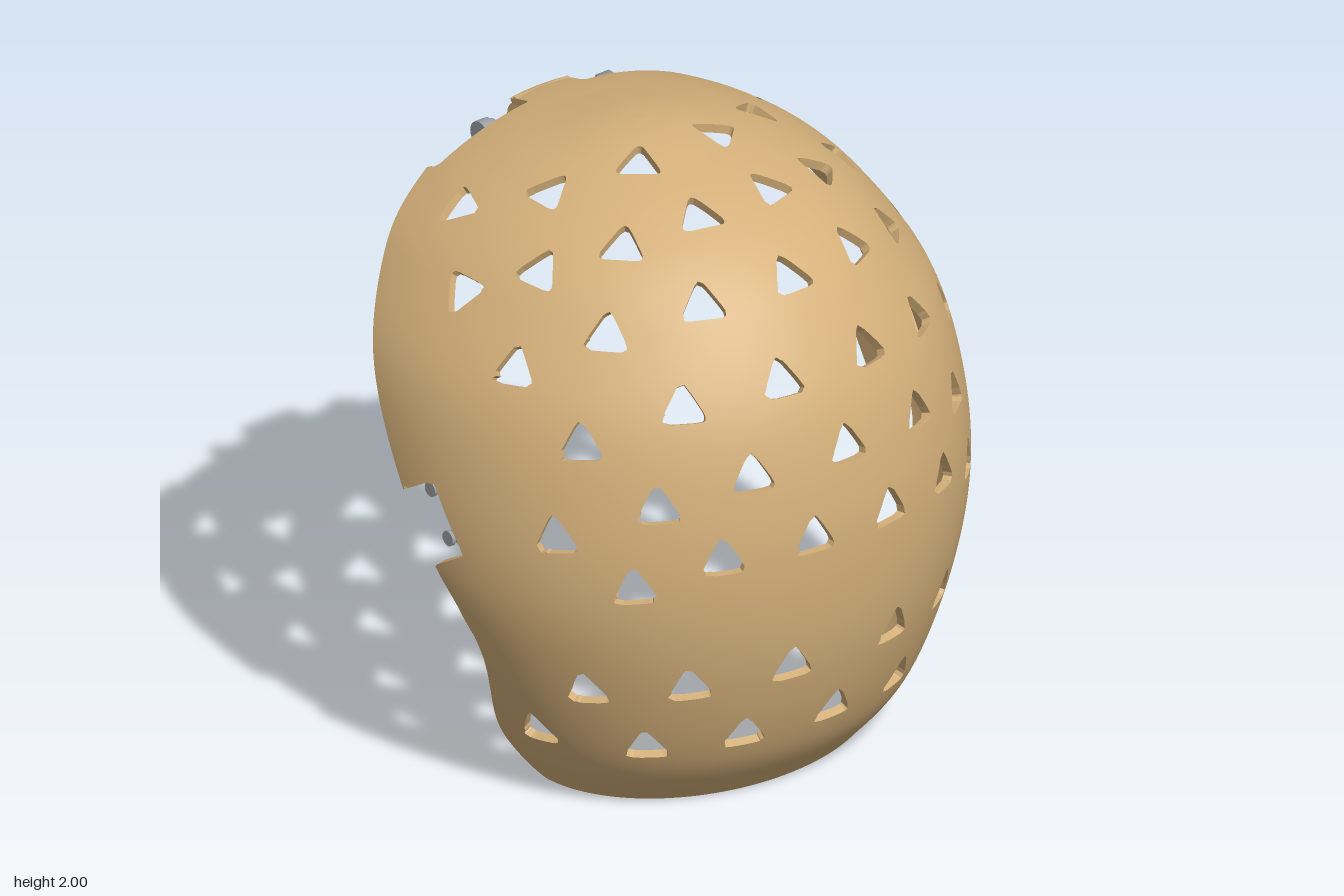
import * as THREE from 'three';

const tan = new THREE.MeshStandardMaterial({ color: 0xd4b07a });
tan.name = 'tan shell';
const steel = new THREE.MeshStandardMaterial({ color: 0x9b9fa4 });
steel.name = 'steel';

// Horizontal sections of the shell: [y, front z, half width, centre z]
const SECTIONS = [
  [2, -0.25, 0, -0.25], [1.99, -0.13, 0.12, -0.25], [1.96, 0, 0.25, -0.26], [1.9, 0.2, 0.42, -0.28],
  [1.8, 0.39, 0.6, -0.31], [1.65, 0.55, 0.76, -0.36], [1.4, 0.7, 0.915, -0.33], [1.1, 0.77, 0.97, -0.24],
  [0.8, 0.775, 0.955, -0.14], [0.5, 0.73, 0.86, -0.06], [0.2, 0.62, 0.73, -0.01], [0, 0.46, 0.6, 0],
  [-0.15, 0.32, 0.48, 0],
];
const V = (x, y, z) => new THREE.Vector3(x, y, z);
const outline = new THREE.CatmullRomCurve3(SECTIONS.map(s => V(s[0], s[1], s[2])), false, 'catmullrom', 0.5);
const centres = new THREE.CatmullRomCurve3(SECTIONS.map(s => V(s[3], 0, 0)), false, 'catmullrom', 0.5);

// Point on the outer surface; u runs from the crown down, t is the angle from the front
function surface(u, t) {
  const o = outline.getPoint(u), c = centres.getPoint(u).x;
  return V(o.z * Math.sin(t), o.x, c + (o.y - c) * Math.cos(t));
}
function tangents(u, t) {
  u = Math.min(Math.max(u, 0.003), 0.998);
  const e = 0.001;
  const down = surface(u + e, t).sub(surface(u - e, t)).normalize();
  const side = surface(u, t + e).sub(surface(u, t - e)).normalize();
  return { up: down.clone().negate(), normal: down.cross(side).normalize() };
}

// Vent centres on the left half; the last number turns the triangle over
const VENTS = [
  [0, 0.32, 0.68], [0.3, 0.3, 0.6], [0.52, 0.27, 0.41], [0.7, 0.27, 0.13],
  [0.2, 0.55, 0.71], [0.5, 0.52, 0.58], [0.7, 0.49, 0.34],
  [0.15, 1, 0.76], [0.44, 0.98, 0.67], [0.65, 0.89, 0.5], [0.81, 1.04, 0.31],
  [0, 1.26, 0.76], [0.33, 1.24, 0.68], [0.6, 1.16, 0.55],
  [0.17, 1.5, 0.63], [0.48, 1.46, 0.53], [0.73, 1.34, 0.33],
  [0, 1.74, 0.45], [0.3, 1.72, 0.4], [0.57, 1.64, 0.26], [0.77, 1.515, 0.06],
  [0.14, 1.89, 0.19], [0.38, 1.84, 0.11], [0.58, 1.76, -0.04], [0.72, 1.66, -0.23, 1],
  [0.15, 1.965, -0.09], [0.41, 1.9, -0.21], [0.56, 1.81, -0.44, 1],
];
function makeVent(x, y, z, flip) {
  let lo = 0, hi = 1;
  for (let i = 0; i < 30; i++) {
    const mid = (lo + hi) / 2;
    if (outline.getPoint(mid).x > y) lo = mid; else hi = mid;
  }
  const o = outline.getPoint(lo), c = centres.getPoint(lo).x;
  const t = Math.atan2(x / o.z, (z - c) / (o.y - c));
  const { up, normal } = tangents(lo, t);
  if (flip) up.negate();
  return { centre: surface(lo, t), up, side: up.clone().cross(normal) };
}
// Distance-like value of a rounded triangle, negative inside
function ventField(p, v) {
  const d = p.clone().sub(v.centre);
  if (d.lengthSq() > 0.06) return 1;
  const a = d.dot(v.side), b = d.dot(v.up), k = Math.sqrt(3) / 2;
  const sum = [-b, k * a + b / 2, -k * a + b / 2].reduce((s, q) => s + Math.max(q, 0) ** 4, 0);
  return sum ** 0.25 - 0.047;
}

// Rear edge seen from the side: [y, z]
const RIM = [[-0.2, 0], [0, 0], [0.03, -0.045], [0.08, -0.073], [0.14, -0.08], [0.2, -0.07], [0.28, -0.043],
  [0.36, -0.013], [0.45, 0.012], [0.52, 0.02], [0.59, 0.014], [0.65, -0.01], [0.72, -0.035], [2.1, -0.892]];
function rimZ(y) {
  const i = Math.max(1, RIM.findIndex(r => r[0] >= y));
  const [y0, z0] = RIM[i - 1], [y1, z1] = RIM[i];
  return z0 + (z1 - z0) * (y - y0) / (y1 - y0);
}

// Frame of the side notches: position on the rim and tilt
const NOTCH_Y = 0.93, NOTCH_Z = -0.17, TILT = 0.557;

// Shell with vents, made by clipping a fine grid and thickening it
function makeShell() {
  const vents = [];
  for (const [x, y, z, flip] of VENTS) {
    vents.push(makeVent(x, y, z, flip));
    if (x > 0) vents.push(makeVent(-x, y, z, flip));
  }
  const field = p => {
    const ax = Math.abs(p.x), dy = p.y - NOTCH_Y, dz = p.z - NOTCH_Z;
    const along = dy * Math.cos(TILT) - dz * Math.sin(TILT);
    const inward = dy * Math.sin(TILT) + dz * Math.cos(TILT);
    let f = Math.min(p.y, p.z - rimZ(p.y));
    f = Math.min(f, Math.max(p.z + 0.67, ax - 0.48, 0.11 - ax));
    f = Math.min(f, Math.max(inward - 0.155, Math.abs(along) - 0.126));
    for (const v of vents) f = Math.min(f, ventField(p, v));
    return f;
  };
  const THICK = 0.03;
  const vertex = (u, t) => {
    const p = surface(u, t), n = tangents(u, t).normal;
    return { u, t, p, n, q: p.clone().addScaledVector(n, -THICK) };
  };
  const rows = 130, cols = 250, grid = [];
  for (let i = 0; i <= rows; i++) {
    grid.push([]);
    for (let j = 0; j <= cols; j++) {
      const v = vertex(i / rows, (j / cols * 2 - 1) * Math.PI);
      v.f = field(v.p);
      grid[i].push(v);
    }
  }
  const pos = [], nor = [];
  const put = (p, n, s = 1) => { pos.push(p.x, p.y, p.z); nor.push(n.x * s, n.y * s, n.z * s); };
  const clip = tri => {
    if (tri.every(v => v.f <= 0)) return;
    const poly = [];
    let exit = null, entry = null;
    tri.forEach((a, i) => {
      const b = tri[(i + 1) % 3];
      if (a.f > 0) poly.push(a);
      if ((a.f > 0) !== (b.f > 0)) {
        const k = a.f / (a.f - b.f);
        const c = vertex(a.u + (b.u - a.u) * k, a.t + (b.t - a.t) * k);
        poly.push(c);
        if (a.f > 0) exit = c; else entry = c;
      }
    });
    for (let i = 1; i < poly.length - 1; i++) {
      const [a, b, c] = [poly[0], poly[i], poly[i + 1]];
      for (const v of [a, b, c]) put(v.p, v.n);
      for (const v of [a, c, b]) put(v.q, v.n, -1);
    }
    if (exit && entry) {
      const n = entry.p.clone().sub(exit.p).cross(exit.n).normalize();
      for (const p of [exit.q, entry.q, entry.p, exit.q, entry.p, exit.p]) put(p, n);
    }
  };
  for (let i = 0; i < rows; i++) for (let j = 0; j < cols; j++) {
    const a = grid[i][j], b = grid[i][j + 1], c = grid[i + 1][j + 1], d = grid[i + 1][j];
    clip([a, d, c]);
    clip([a, c, b]);
  }
  const g = new THREE.BufferGeometry();
  g.setAttribute('position', new THREE.Float32BufferAttribute(pos, 3));
  g.setAttribute('normal', new THREE.Float32BufferAttribute(nor, 3));
  return g;
}

function add(parent, name, geometry, material, x, y, z) {
  const m = new THREE.Mesh(geometry, material);
  m.name = name;
  m.position.set(x, y, z);
  parent.add(m);
  return m;
}
// Cylinder lying along x between two x values
const rod = (parent, name, r, x0, x1, y, z, mat = steel, sides = 20) =>
  add(parent, name, new THREE.CylinderGeometry(r, r, Math.abs(x1 - x0), sides).rotateZ(Math.PI / 2), mat, (x0 + x1) / 2, y, z);

export function createModel() {
  const model = new THREE.Group();
  model.name = 'ventedShell';
  add(model, 'shell', makeShell(), tan, 0, 0, 0);

  // Hinge at the top of the rear edge
  const hinge = new THREE.Group();
  hinge.name = 'topHinge';
  hinge.position.set(0, 1.835, -0.722);
  model.add(hinge);
  rod(hinge, 'hingeBarrel', 0.055, -0.108, 0.108, 0, 0, tan, 28);
  add(hinge, 'hingeTab', new THREE.BoxGeometry(0.216, 0.07, 0.075), tan, 0, 0.035, 0.012);
  rod(hinge, 'hingePin', 0.024, -0.25, 0.27, 0, 0);
  rod(hinge, 'pinHead', 0.044, -0.265, -0.222, 0, 0);
  rod(hinge, 'headWasher', 0.036, -0.222, -0.205, 0, 0);
  rod(hinge, 'nutWasher', 0.036, 0.205, 0.218, 0, 0);
  rod(hinge, 'pinNut', 0.042, 0.218, 0.27, 0, 0, steel, 6);
  rod(hinge, 'pinTip', 0.018, 0.27, 0.305, 0, 0);

  // Angle brackets and their bolts at the side notches
  for (const s of [1, -1]) {
    const bracket = new THREE.Group();
    bracket.name = s > 0 ? 'leftBracket' : 'rightBracket';
    bracket.position.set(0, NOTCH_Y, NOTCH_Z);
    bracket.rotation.x = -TILT;
    model.add(bracket);
    add(bracket, 'bracketPlate', new THREE.BoxGeometry(0.02, 0.25, 0.158), tan, s * 0.82, 0, 0.079);
    add(bracket, 'bracketWall', new THREE.BoxGeometry(0.13, 0.25, 0.018), tan, s * 0.875, 0, 0.152);
    for (const y of [-0.068, 0.094]) for (const z of [0.118, -0.047]) {
      rod(bracket, 'boltShank', 0.016, s * 0.735, s * 0.835, y, z);
      rod(bracket, 'boltHead', 0.025, s * 0.832, s * 0.845, y, z);
      rod(bracket, 'boltWasher', 0.03, s * 0.796, s * 0.806, y, z);
      rod(bracket, 'boltNut', 0.026, s * 0.764, s * 0.796, y, z, steel, 6);
    }
  }
  return model;
}
